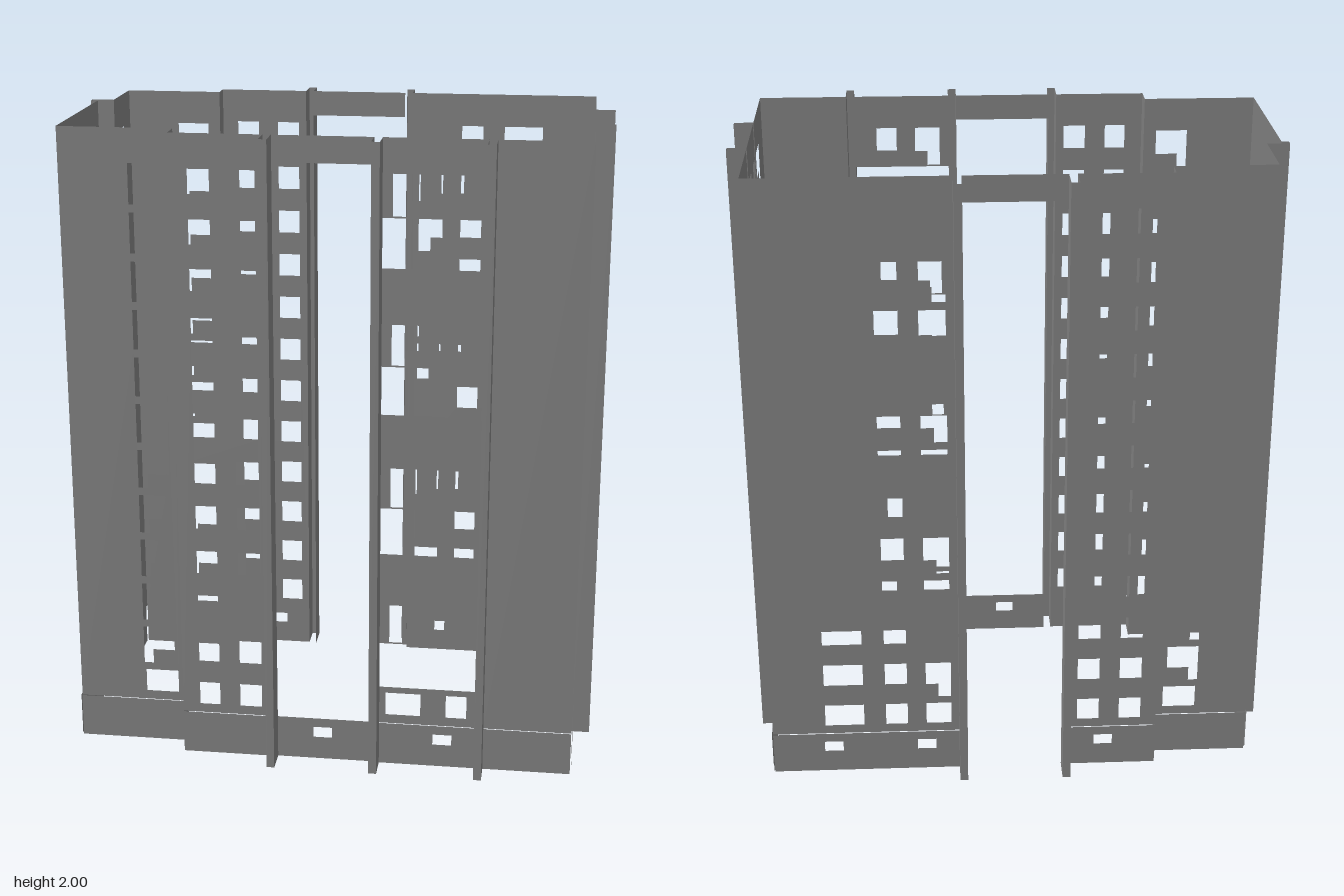
import * as THREE from 'three';

const concrete = new THREE.MeshStandardMaterial({ color: 0x808080, side: THREE.DoubleSide });
concrete.name = 'concrete grey';

const H = 2, BASE = 0.14;
// Top edge of the windows on each of the twelve storeys
const tops = Array.from({ length: 12 }, (_, i) => (i < 11 ? 1.895 - 0.15 * i : 0.245));
const all = tops.map((_, i) => i);
const upper = all.slice(0, 11);

// Window outlines, as [coordinate along wall, y]
const rect = (a, b, y0, y1) => [[a, y0], [b, y0], [b, y1], [a, y1]];
const squares = (a, b, rows = all) => rows.map(i => rect(a, b, tops[i] - 0.075, tops[i]));
// Window joined to a balcony door: the door spans a..d, the window a..b
const doors = (a, b, d, rows) => rows.map(i => {
  const t = tops[i], w = t - 0.078, f = t - 0.125;
  return [[a, f], [d, f], [d, w], [b, w], [b, t], [a, t]];
});
const vent = (a, b) => rect(a, b, 0.075, 0.11);

export function createModel() {
  const model = new THREE.Group();

  // Thin upright panel from a to b ([x, z]); outside is on the right-hand side
  function panel(name, a, b, y0, y1, holes = []) {
    const d = new THREE.Vector3(b[0] - a[0], 0, b[1] - a[1]);
    const len = d.length();
    d.normalize();
    const k = Math.abs(d.x) > 0.5 ? 0 : 1;
    const sign = k === 0 ? Math.sign(d.x) : Math.sign(d.z);
    const vec = p => p.map(q => new THREE.Vector2(...q));
    const shape = new THREE.Shape(vec(rect(0, len, y0, y1)));
    for (const h of holes)
      shape.holes.push(new THREE.Path(vec(h.map(([c, y]) => [(c - a[k]) * sign, y]))));
    const up = new THREE.Vector3(0, 1, 0);
    const m = new THREE.Matrix4().makeBasis(d, up, d.clone().cross(up)).setPosition(a[0], 0, a[1]);
    const mesh = new THREE.Mesh(new THREE.ShapeGeometry(shape).applyMatrix4(m), concrete);
    mesh.name = name;
    model.add(mesh);
  }

  // Wall on a slightly projecting plinth; whole storeys in gapRows are left open
  function wall(name, a, b, holes = [], vents = [], gapRows = []) {
    const len = Math.hypot(b[0] - a[0], b[1] - a[1]);
    const nx = -(b[1] - a[1]) / len * 0.004, nz = (b[0] - a[0]) / len * 0.004;
    panel(name + 'Plinth', [a[0] + nx, a[1] + nz], [b[0] + nx, b[1] + nz], 0, BASE, vents);
    let y1 = H;
    const piece = y0 => panel(name, a, b, y0, y1,
      holes.filter(h => h.every(p => p[1] > y0 && p[1] < y1)));
    for (const r of gapRows) {
      piece(tops[r] + 0.02);
      y1 = tops[r] - 0.13;
    }
    piece(BASE);
  }

  // Run of full-height panels along a path
  function run(name, points) {
    for (let i = 1; i < points.length; i++) panel(name, points[i - 1], points[i], 0, H);
  }

  // Front walls
  const frontDoors = [...doors(-0.6, -0.5, -0.57, upper), rect(-0.595, -0.49, 0.17, 0.245)];
  wall('frontWingWall', [-0.812, 0.36], [-0.46, 0.36], frontDoors);
  run('frontStep', [[-0.46, 0.36], [-0.46, 0.43]]);
  wall('frontLeftBay', [-0.46, 0.43], [-0.18, 0.43],
    [...squares(-0.405, -0.34), ...squares(-0.275, -0.205)]);
  panel('entrancePlinth', [-0.155, 0.43], [0.145, 0.43], 0, BASE, [vent(-0.04, 0.02)]);
  panel('frontBeam', [-0.155, 0.43], [0.145, 0.43], 1.92, H);
  const windowRows = [0, 3, 6, 9];
  wall('frontBalconyBay', [0.17, 0.43], [0.475, 0.43], [
    ...doors(0.2, 0.28, 0.24, windowRows), ...squares(0.34, 0.405, windowRows),
    rect(0.19, 0.3, 0.17, 0.245), rect(0.38, 0.445, 0.17, 0.245),
  ], [vent(0.34, 0.4)], [1, 4, 7, 10]);
  wall('frontBlankBay', [0.5, 0.43], [0.775, 0.43]);

  // Front fins
  for (const x of [-0.18, 0.145, 0.475])
    run('frontFin', [[x, 0.43], [x, 0.51], [x + 0.025, 0.51], [x + 0.025, 0.43]]);

  // Side wall on +x, in three bays between two fins
  wall('sideFrontBay', [0.775, 0.43], [0.775, 0.142],
    [...doors(0.275, 0.165, 0.235, [0, 3, 9]), rect(0.165, 0.275, 0.17, 0.245)], [], [2, 5, 8]);
  wall('sideMiddleBay', [0.775, 0.12], [0.775, -0.13],
    [...squares(0.04, 0.11), ...squares(-0.105, -0.03)]);
  wall('sideBackBay', [0.775, -0.153], [0.775, -0.43],
    [...doors(-0.27, -0.16, -0.225, [1, 2, 4, 5, 8, 10]), rect(-0.27, -0.16, 0.17, 0.245)]);
  for (const z of [0.142, -0.13])
    run('sideFin', [[0.775, z], [0.834, z], [0.834, z - 0.023], [0.775, z - 0.023]]);

  // Back walls
  wall('backWideBay', [0.775, -0.43], [0.175, -0.43], [
    ...squares(0.48, 0.605), ...squares(0.34, 0.41),
    ...doors(0.2, 0.28, 0.24, [1, 2, 4, 5, 7, 8, 10]), ...squares(0.2, 0.28, [11]),
  ], [vent(0.55, 0.61), vent(0.25, 0.31)]);
  run('backFin', [[0.175, -0.43], [0.175, -0.51], [0.15, -0.51], [0.15, -0.5]]);
  panel('backBeam', [0.15, -0.43], [-0.155, -0.43], 1.92, H);
  run('backFin', [[-0.155, -0.43], [-0.155, -0.51], [-0.18, -0.51], [-0.18, -0.43]]);
  wall('backNarrowBay', [-0.18, -0.43], [-0.46, -0.43],
    [...squares(-0.41, -0.34), ...squares(-0.275, -0.205)], [vent(-0.32, -0.26)]);
  run('backStep', [[-0.46, -0.43], [-0.46, -0.37]]);
  wall('backWingWall', [-0.46, -0.37], [-0.765, -0.37], frontDoors);

  // Side wall on -x, stepping out at a single fin
  wall('farSideBackBay', [-0.765, -0.37], [-0.765, -0.16], squares(-0.28, -0.205));
  run('farSideFin', [[-0.765, -0.16], [-0.834, -0.16], [-0.834, -0.138], [-0.812, -0.138]]);
  wall('farSideFrontBay', [-0.812, -0.138], [-0.812, 0.36], squares(-0.08, 0.02));

  return model;
}
